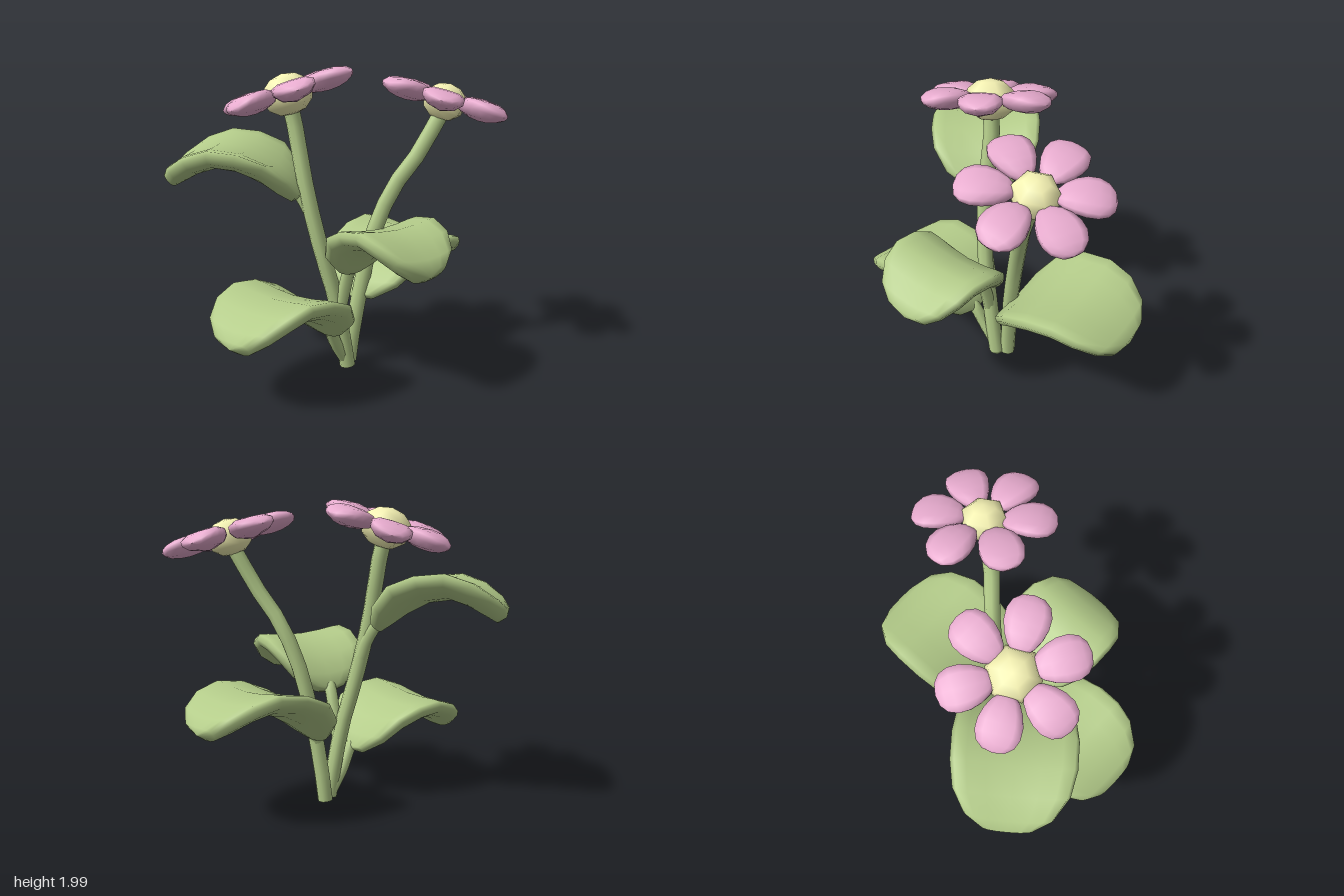
import * as THREE from 'three';

const green = new THREE.MeshStandardMaterial({ color: 0xb4cc8a, side: THREE.DoubleSide });
const pink = new THREE.MeshStandardMaterial({ color: 0xe8accf });
const yellow = new THREE.MeshStandardMaterial({ color: 0xf6f3b4 });
const UP = new THREE.Vector3(0, 1, 0);

function addMesh(parent, name, geometry, material) {
  const mesh = new THREE.Mesh(geometry, material);
  mesh.name = name;
  parent.add(mesh);
  return mesh;
}

// Round stalk through a few points, used for stems and leaf stalks
function addStalk(parent, name, points, radius) {
  const curve = new THREE.CatmullRomCurve3(points.map(p => new THREE.Vector3(...p)));
  return addMesh(parent, name, new THREE.TubeGeometry(curve, 10, radius, 8), green);
}

// Blunter version of a sine or cosine, for squarish outlines
const blunt = (v, power) => Math.sign(v) * Math.abs(v) ** power;

// Leaf cross-sections: distance, height, half width, upward curl of the sides, half thickness
const SECTIONS = [
  [-0.02, -0.03, 0.0, 0.0, 0.0],
  [0.00, -0.02, 0.14, 0.8, 0.04],
  [0.05, 0.04, 0.29, 0.8, 0.06],
  [0.15, 0.13, 0.37, 0.75, 0.07],
  [0.30, 0.215, 0.39, 0.5, 0.07],
  [0.46, 0.24, 0.385, 0.45, 0.07],
  [0.60, 0.195, 0.355, 0.5, 0.07],
  [0.71, 0.125, 0.275, 0.7, 0.065],
  [0.765, 0.085, 0.16, 0.7, 0.055],
  [0.785, 0.075, 0.0, 0.0, 0.0],
];

function leafGeometry(width, length, tilt) {
  const N = 16, positions = [], index = [];
  SECTIONS.forEach(([u, h, w, curl, thick], i) => {
    const a = SECTIONS[Math.max(i - 1, 0)], b = SECTIONS[Math.min(i + 1, SECTIONS.length - 1)];
    const slope = Math.atan2(b[1] - a[1], b[0] - a[0]);
    for (let j = 0; j < N; j++) {
      const angle = j / N * Math.PI * 2;
      const side = blunt(Math.cos(angle), 0.85) * w, t = blunt(Math.sin(angle), 0.6) * thick;
      positions.push(
        side * width,
        h + curl * side * side + tilt * u + t * Math.cos(slope),
        u * length - t * Math.sin(slope));
      if (i < SECTIONS.length - 1) {
        const p = i * N + j, q = i * N + (j + 1) % N;
        index.push(p, q, p + N, q, q + N, p + N);
      }
    }
  });
  const geometry = new THREE.BufferGeometry();
  geometry.setAttribute('position', new THREE.Float32BufferAttribute(positions, 3));
  geometry.setIndex(index);
  geometry.computeVertexNormals();
  return geometry;
}

// Egg-shaped, slightly cupped petal pointing along +x, broader at its outer end
function petalGeometry() {
  const geometry = new THREE.SphereGeometry(1, 10, 8).rotateZ(Math.PI / 2);
  const p = geometry.attributes.position;
  for (let i = 0; i < p.count; i++) {
    const x = p.getX(i), z = blunt(p.getZ(i), 0.9);
    p.setXYZ(i, 0.272 + 0.168 * x, 0.066 * p.getY(i) + 0.025 * z * z - 0.015, 0.132 * z * (1 + 0.22 * x));
  }
  geometry.computeVertexNormals();
  return geometry;
}

function addFlower(parent, name, center, normal, coreRadius, turn) {
  const flower = new THREE.Group();
  flower.name = name;
  flower.position.set(...center);
  flower.quaternion.setFromUnitVectors(UP, new THREE.Vector3(...normal).normalize());
  const core = addMesh(flower, 'flowerCenter', new THREE.SphereGeometry(coreRadius, 6, 6), yellow);
  core.scale.y = 0.8;
  core.position.y = -0.03;
  const petal = petalGeometry();
  for (let i = 0; i < 6; i++) {
    addMesh(flower, 'petal', petal, pink).rotation.y = turn + i * Math.PI / 3;
  }
  parent.add(flower);
}

export function createModel() {
  const plant = new THREE.Group();
  plant.name = 'floweringPlant';

  // Stems with closed feet
  const stems = [
    ['frontStem', [[0.08, 0, 0.01], [0.08, 0.05, 0.018], [0.055, 0.5, 0.1], [0.01, 0.8, 0.17],
      [-0.07, 1.2, 0.225], [-0.165, 1.65, 0.245], [-0.18, 1.78, 0.27]]],
    ['backStem', [[0.03, 0, -0.05], [0.03, 0.05, -0.055], [0.075, 0.5, -0.11], [0.12, 0.9, -0.19],
      [0.2, 1.2, -0.29], [0.3, 1.4, -0.39], [0.4, 1.72, -0.54]]],
  ];
  for (const [name, points] of stems) {
    addStalk(plant, name, points, 0.052);
    const foot = addMesh(plant, name + 'Foot', new THREE.CircleGeometry(0.052, 8), green);
    foot.rotation.x = Math.PI / 2;
    foot.position.set(...points[0]);
  }

  // Leaves, each with a stalk from its stem
  const leaves = [
    { name: 'frontLeaf', base: [0.1, 0.33, 0.2], turn: 0.03, roll: 0.05, width: 1, length: 1, tilt: 0,
      from: [0.07, 0.04, 0.02], mid: [0.08, 0.17, 0.11] },
    { name: 'leftLeaf', base: [0.19, 0.74, 0.08], turn: Math.PI / 2, roll: -0.03, width: 0.9, length: 0.84,
      tilt: 0, from: [0.07, 0.36, 0.08], mid: [0.12, 0.56, 0.075] },
    { name: 'backLeaf', base: [0.03, 0.48, -0.12], turn: Math.PI + 0.1, roll: 0.05, width: 1.03, length: 1.1,
      tilt: 0.06, from: [0.06, 0.38, -0.09], mid: [0.05, 0.43, -0.105] },
    { name: 'rightLeaf', base: [-0.13, 1.19, 0.25], turn: -0.86, roll: -0.07, width: 0.94, length: 1.05,
      tilt: 0, from: [-0.03, 0.96, 0.19], mid: [-0.07, 1.08, 0.21] },
  ];
  for (const { name, base, turn, roll, width, length, tilt, from, mid } of leaves) {
    const leaf = addMesh(plant, name, leafGeometry(width, length, tilt), green);
    leaf.position.set(...base);
    leaf.rotation.set(0, turn, roll, 'YXZ');
    const end = [base[0] + Math.sin(turn) * 0.04, base[1] + 0.02, base[2] + Math.cos(turn) * 0.04];
    addStalk(plant, name + 'Stalk', [from, mid, base, end], 0.042);
  }

  // Flower heads, tipped away from each other
  addFlower(plant, 'frontFlower', [-0.19, 1.835, 0.28], [-0.25, 1, 0.2], 0.165, Math.PI / 6);
  addFlower(plant, 'backFlower', [0.4, 1.775, -0.55], [0.17, 1, -0.23], 0.15, 0.1);

  return plant;
}
